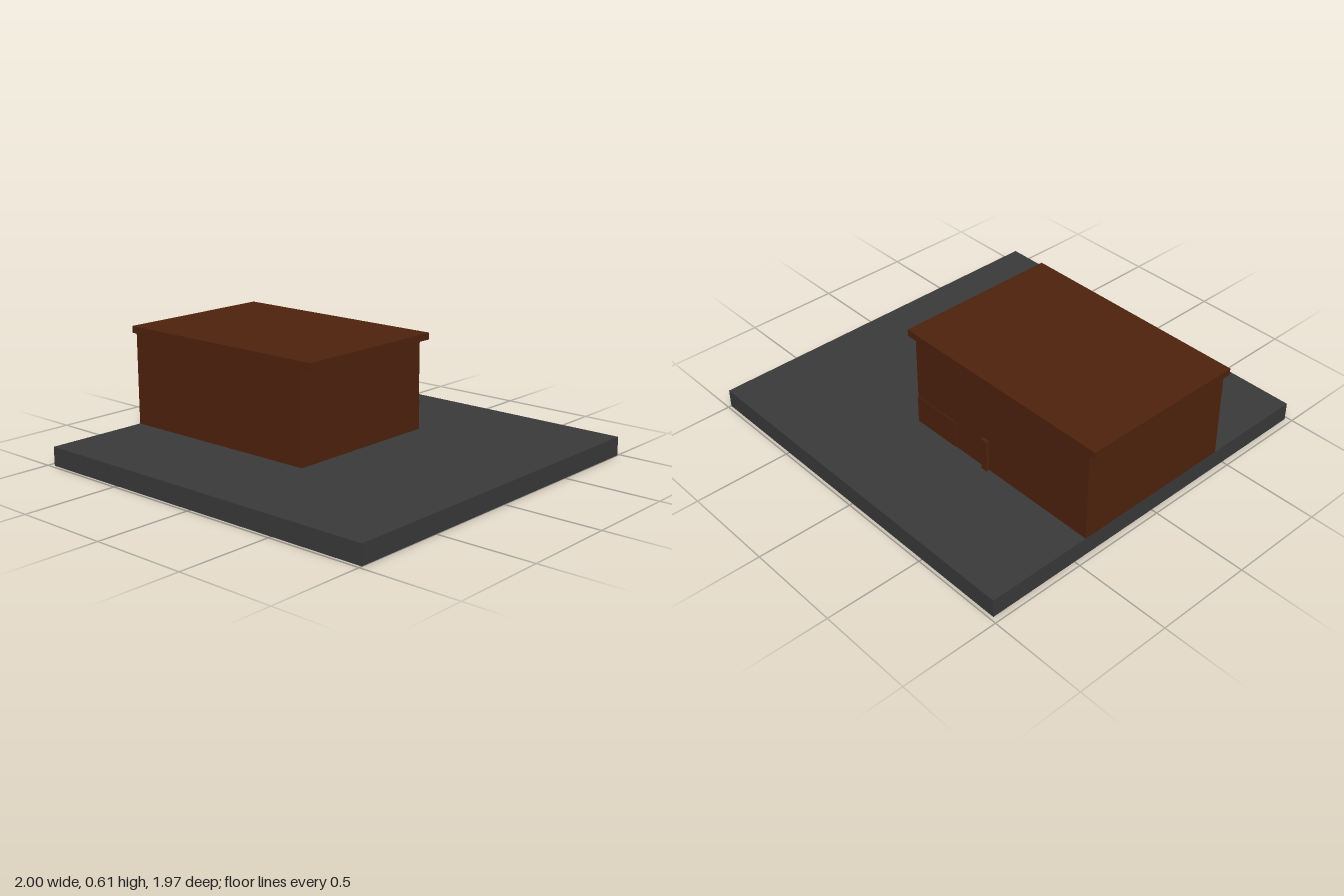
import * as THREE from 'three';

const brown = new THREE.MeshStandardMaterial({ color: 0x4f220d });
const grey = new THREE.MeshStandardMaterial({ color: 0x3a3a3a });

// Box given by its limits on each axis
function block(name, material, [x0, x1], [y0, y1], [z0, z1]) {
  const mesh = new THREE.Mesh(new THREE.BoxGeometry(x1 - x0, y1 - y0, z1 - z0), material);
  mesh.position.set((x0 + x1) / 2, (y0 + y1) / 2, (z0 + z1) / 2);
  mesh.name = name;
  return mesh;
}

export function createModel() {
  const model = new THREE.Group();
  model.name = 'house';

  // Ground slab
  model.add(block('groundSlab', grey, [-0.968, 1], [0, 0.097], [-0.983, 0.983]));

  // Four wall boards: long ones front and back, short ones between them
  const walls = new THREE.Group();
  walls.name = 'walls';
  const height = [0.097, 0.57];
  walls.add(
    block('frontWall', brown, [-0.968, 0.167], height, [0.4, 0.435]),
    block('backWall', brown, [-0.968, 0.167], height, [-0.435, -0.4]),
    block('leftWall', brown, [0.132, 0.167], height, [-0.4, 0.4]),
    block('rightWall', brown, [-0.968, -0.933], height, [-0.4, 0.4]),
  );
  model.add(walls);

  // Flat roof overhanging the two short sides
  model.add(block('roof', brown, [-1, 0.224], [0.57, 0.605], [-0.435, 0.435]));

  // Small fitting on the front wall
  model.add(block('frontHandle', brown, [-0.108, -0.092], [0.237, 0.273], [0.43, 0.441]));

  // Low panel and upright post on the back wall
  model.add(block('backPanel', brown, [-0.108, 0.167], [0.097, 0.245], [-0.439, -0.43]));
  model.add(block('backPost', brown, [-0.338, -0.302], [0.097, 0.27], [-0.452, -0.43]));

  return model;
}
